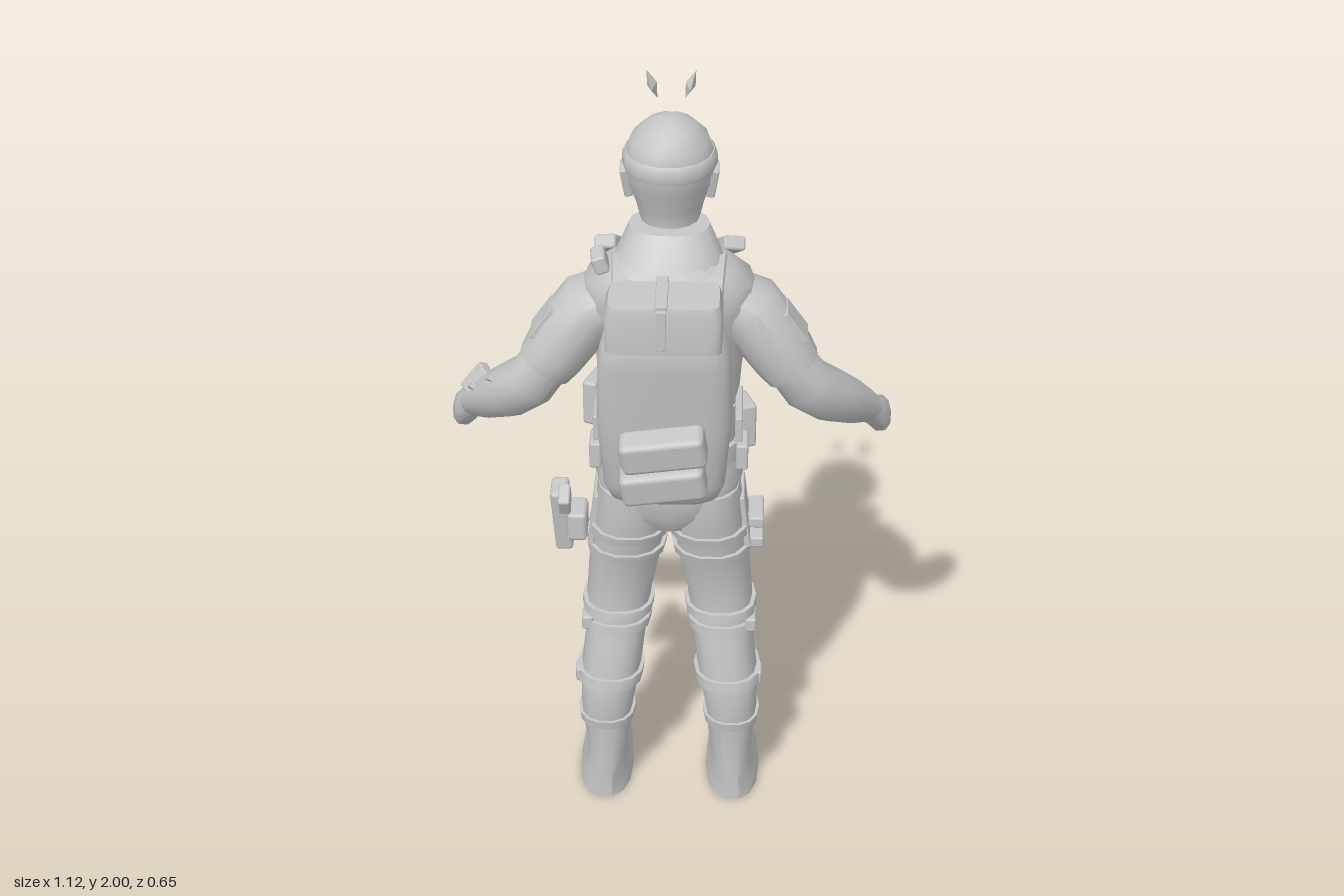
import * as THREE from 'three';
import { toCreasedNormals } from 'three/addons/utils/BufferGeometryUtils.js';
import { RoundedBoxGeometry } from 'three/addons/geometries/RoundedBoxGeometry.js';

const V = (x, y, z) => new THREE.Vector3(x, y, z);

// Skin over rings {c, u, v}: centre and two half axes, closed at both ends
function loft(rings, n = 14, p = 0.85, crease = 0.75) {
  const pos = [], idx = [];
  const pw = t => Math.sign(t) * Math.abs(t) ** p;
  const put = q => pos.push(q.x, q.y, q.z);
  rings.forEach(({ c, u, v }) => {
    for (let i = 0; i < n; i++) {
      const a = i / n * Math.PI * 2;
      put(c.clone().addScaledVector(u, pw(Math.cos(a))).addScaledVector(v, pw(Math.sin(a))));
    }
  });
  const last = (rings.length - 1) * n, end = rings.length * n;
  put(rings[0].c);
  put(rings[rings.length - 1].c);
  for (let i = 0; i < n; i++) {
    const k = (i + 1) % n;
    for (let j = 0; j < last; j += n) {
      idx.push(j + i, j + n + i, j + k, j + k, j + n + i, j + n + k);
    }
    idx.push(end, i, k, end + 1, last + k, last + i);
  }
  const g = new THREE.BufferGeometry();
  g.setAttribute('position', new THREE.Float32BufferAttribute(pos, 3));
  g.setIndex(idx);
  g.computeVertexNormals();
  return toCreasedNormals(g, crease);
}

// Level ring rows, bottom to top: [y, x, half width, back z, front z]
const level = (rows, s = 1) => rows.map(([y, x, w, b, f]) => (
  { c: V(x * s, y, (b + f) / 2), u: V(w, 0, 0), v: V(0, 0, (b - f) / 2) }));

// Rings across a path of [x, y, z, width, thickness]; side is the width direction
function limb(rows, s, side) {
  const pts = rows.map(r => V(r[0] * s, r[1], r[2]));
  return rows.map((r, i) => {
    const d = pts[Math.min(i + 1, pts.length - 1)].clone().sub(pts[Math.max(i - 1, 0)]).normalize();
    const u = side.clone().addScaledVector(d, -side.dot(d)).normalize();
    const v = u.clone().cross(d);
    return { c: pts[i], u: u.multiplyScalar(r[3]), v: v.multiplyScalar(r[4]) };
  });
}

const LEG = [
  [0.18, 0.165, 0.06, 0.03, -0.115], [0.27, 0.165, 0.068, 0.045, -0.12],
  [0.38, 0.155, 0.078, 0.045, -0.135], [0.5, 0.14, 0.078, 0.015, -0.155],
  [0.62, 0.13, 0.084, 0.0, -0.18], [0.75, 0.112, 0.092, 0.025, -0.19],
  [0.88, 0.096, 0.093, 0.058, -0.178], [0.98, 0.09, 0.088, 0.06, -0.16]];

// Leg ring at any height, grown by g
function legRing(y, g) {
  let i = 0;
  while (i < LEG.length - 2 && LEG[i + 1][0] < y) i++;
  const t = (y - LEG[i][0]) / (LEG[i + 1][0] - LEG[i][0]);
  const [, x, w, b, f] = LEG[i].map((a, k) => a + (LEG[i + 1][k] - a) * t);
  return [y, x, w + g, b + g, f - g];
}

export function createModel() {
  const root = new THREE.Group();
  const gray = new THREE.MeshStandardMaterial({ color: 0xc6c6c6 });
  gray.name = 'plain gray';

  const add = (name, geo) => {
    const m = new THREE.Mesh(geo, gray);
    m.name = name;
    root.add(m);
    return m;
  };
  const box = (name, [w, h, d], [x, y, z], [a, b, c] = [0, 0, 0]) => {
    const m = add(name, new RoundedBoxGeometry(w, h, d, 1, Math.min(w, h, d) * 0.2));
    m.position.set(x, y, z);
    m.rotation.set(a, b, c);
    return m;
  };

  // Head, with a masked face towards -z
  add('head', loft(level([
    [1.6, 0, 0.062, 0.0, -0.13], [1.665, 0, 0.066, -0.015, -0.16], [1.72, 0, 0.08, -0.01, -0.182],
    [1.78, 0, 0.1, 0.022, -0.195], [1.84, 0, 0.108, 0.032, -0.2], [1.885, 0, 0.092, 0.026, -0.19],
    [1.915, 0, 0.062, 0.0, -0.16], [1.935, 0, 0.025, -0.05, -0.11]]), 14, 0.95));
  add('headBand', loft(level([
    [1.815, 0, 0.108, 0.034, -0.202], [1.825, 0, 0.111, 0.037, -0.205],
    [1.85, 0, 0.11, 0.036, -0.205], [1.858, 0, 0.104, 0.03, -0.198]]), 14, 0.95));
  box('goggles', [0.12, 0.035, 0.02], [0, 1.835, -0.192]);
  for (const s of [-1, 1]) {
    box('earpiece', [0.02, 0.075, 0.05], [s * 0.1, 1.785, -0.075], [0.2, 0, -s * 0.15]);
    const shard = add('floatingShard', toCreasedNormals(new THREE.OctahedronGeometry(1), 0.1));
    shard.scale.set(0.012, 0.037, 0.042);
    shard.position.set(s * 0.045, 1.963, -0.205);
    shard.rotation.set(0, 0, -s * 0.35);
  }

  // Trunk
  add('torso', loft(level([
    [1.04, 0, 0.168, 0.05, -0.18], [1.15, 0, 0.165, 0.05, -0.18], [1.3, 0, 0.175, 0.07, -0.19],
    [1.42, 0, 0.188, 0.085, -0.198], [1.5, 0, 0.21, 0.1, -0.19], [1.555, 0, 0.2, 0.1, -0.165],
    [1.6, 0, 0.155, 0.088, -0.125], [1.63, 0, 0.1, 0.06, -0.11]]), 18, 0.8));
  add('pelvis', loft(level([
    [0.87, 0, 0.07, 0.035, -0.14], [0.92, 0, 0.165, 0.062, -0.17],
    [1.0, 0, 0.184, 0.072, -0.178], [1.08, 0, 0.17, 0.055, -0.18]]), 16));
  add('collar', loft(level([
    [1.6, 0, 0.135, 0.085, -0.115], [1.64, 0, 0.118, 0.06, -0.12], [1.685, 0, 0.095, 0.025, -0.125]])));
  add('belt', loft(level([[1.06, 0, 0.18, 0.07, -0.194], [1.11, 0, 0.178, 0.068, -0.194]]), 18));
  add('vestBand', loft(level([
    [1.17, 0, 0.174, 0.066, -0.192], [1.22, 0, 0.177, 0.07, -0.195]]), 18));

  // Arms, hands and shoulder gear
  for (const s of [-1, 1]) {
    const up = V(s * 0.6, 0.75, 0.1);
    add('upperArm', loft(limb([
      [0.13, 1.51, -0.03, 0.06, 0.085], [0.19, 1.475, -0.025, 0.078, 0.095], [0.24, 1.41, -0.018, 0.078, 0.09],
      [0.275, 1.36, -0.01, 0.074, 0.084], [0.3, 1.325, -0.006, 0.068, 0.074]], s, up), 12));
    add('forearm', loft(limb([
      [0.265, 1.37, -0.01, 0.058, 0.062], [0.33, 1.28, -0.012, 0.064, 0.066],
      [0.39, 1.222, -0.055, 0.064, 0.064], [0.45, 1.168, -0.115, 0.052, 0.054],
      [0.495, 1.12, -0.175, 0.036, 0.04]], s, up), 12));
    add('hand', loft(limb([
      [0.485, 1.125, -0.165, 0.032, 0.034], [0.512, 1.09, -0.2, 0.032, 0.038], [0.53, 1.06, -0.24, 0.03, 0.048],
      [0.528, 1.03, -0.28, 0.028, 0.04], [0.52, 1.01, -0.305, 0.02, 0.026]], s, V(s, 0.35, 0.3)), 10));
    add('thumb', loft(limb([
      [0.505, 1.085, -0.21, 0.018, 0.02], [0.493, 1.06, -0.25, 0.018, 0.018],
      [0.486, 1.035, -0.29, 0.012, 0.012]], s, V(s, 0.35, 0.3)), 8));
    box('sleevePocket', [0.016, 0.09, 0.085], [s * 0.3, 1.445, -0.02], [0, 0, s * 0.62]);
    add('packStrap', loft(limb([
      [0.1, 1.5, 0.12, 0.025, 0.01], [0.105, 1.59, 0.08, 0.025, 0.01], [0.11, 1.617, 0.0, 0.025, 0.01],
      [0.115, 1.575, -0.145, 0.028, 0.01], [0.12, 1.46, -0.19, 0.028, 0.01]], s, V(1, 0, 0)), 8, 0.5));
    box('shoulderPouch', [0.055, 0.035, 0.085], [s * 0.14, 1.595, -0.115], [-0.6, s * 0.35, 0]);
  }
  box('shoulderBuckle', [0.035, 0.045, 0.07], [-0.16, 1.615, 0.01], [0, 0.1, 0.3]);
  box('wristDevice', [0.03, 0.085, 0.06], [-0.475, 1.205, -0.12], [0.5, 0.5, -0.75]);
  for (const t of [0, 1]) {
    box('forearmStrap', [0.122, 0.016, 0.122],
      [-0.405 - t * 0.055, 1.208 - t * 0.058, -0.07 - t * 0.062], [-0.5, 0.3, -0.65]);
  }

  // Chest and belt pouches
  for (const i of [-1, 0, 1]) {
    box('magazinePouch', [0.072, 0.12, 0.05], [i * 0.078, 1.385, -0.222]);
    box('pouchFlap', [0.076, 0.035, 0.058], [i * 0.078, 1.44, -0.225], [0.1, 0, 0]);
    box('lowerPouch', [0.075, 0.075, 0.04], [i * 0.085, 1.2, -0.21]);
    box('beltPouch', [0.075, 0.085, 0.045], [i * 0.09, 1.075, -0.21]);
  }
  box('chestRadio', [0.06, 0.13, 0.055], [0.055, 1.4, -0.268], [0, 0, 0.05]);
  box('chestTool', [0.1, 0.035, 0.04], [-0.06, 1.43, -0.268], [0, 0, 0.3]);
  add('radioCable', new THREE.TubeGeometry(new THREE.CatmullRomCurve3([
    V(-0.14, 1.44, -0.2), V(-0.14, 1.51, -0.22), V(-0.11, 1.53, -0.26),
    V(-0.085, 1.48, -0.31), V(-0.08, 1.42, -0.27)]), 20, 0.002, 5));
  for (const s of [-1, 1]) {
    box('sidePouch', [0.04, 0.12, 0.09], [s * 0.183, 1.14 - s * 0.03, -0.12], [0, s * 0.35, 0]);
    box('hipPouch', [0.03, 0.07, 0.08], [s * 0.18, 1.08, -0.02]);
    box('sideStrap', [0.018, 0.065, 0.16], [s * 0.17, 1.21, 0.02]);
  }

  // Backpack: rounded body, squared lid, centre strap and two tilted pouches
  add('packBody', loft(level([
    [1.055, -0.005, 0.1, 0.19, 0.11], [1.075, -0.005, 0.128, 0.21, 0.085], [1.12, -0.005, 0.146, 0.226, 0.075],
    [1.3, -0.005, 0.16, 0.248, 0.065], [1.46, -0.005, 0.155, 0.266, 0.09], [1.52, -0.005, 0.14, 0.272, 0.11],
    [1.54, -0.005, 0.125, 0.262, 0.13]]), 20, 0.42));
  add('packLid', loft(level([
    [1.51, -0.005, 0.134, 0.272, 0.11], [1.6, -0.005, 0.134, 0.274, 0.125],
    [1.627, -0.005, 0.126, 0.268, 0.135]]), 20, 0.25));
  box('packTopStrap', [0.028, 0.012, 0.15], [-0.01, 1.628, 0.195]);
  box('packBackStrap', [0.024, 0.1, 0.012], [-0.01, 1.575, 0.274]);
  for (const [y, z] of [[1.268, 0.283], [1.178, 0.278]]) {
    box('packPouch', [0.2, 0.085, 0.075], [-0.005, y, z], [0.15, 0, 0.15]);
  }

  // Legs, boots and guards
  for (const s of [-1, 1]) {
    add('leg', loft(level(LEG, s), 14));
    add('boot', loft(level([
      [0.0, 0.172, 0.072, 0.042, -0.25], [0.03, 0.172, 0.07, 0.042, -0.295], [0.06, 0.17, 0.06, 0.042, -0.25],
      [0.12, 0.167, 0.055, 0.04, -0.165], [0.17, 0.165, 0.057, 0.037, -0.125], [0.26, 0.165, 0.066, 0.045, -0.12]
    ], s), 14));
    for (const [y, h, g] of [[0.24, 0.025, 0.008], [0.37, 0.03, 0.01], [0.53, 0.025, 0.01],
      [0.57, 0.025, 0.011], [0.77, 0.025, 0.01], [0.835, 0.025, 0.01]]) {
      add('legStrap', loft(level([legRing(y, g), legRing(y + h, g)], s), 14));
    }
    for (const y of [0.38, 0.55]) {
      box('strapBuckle', [0.03, 0.04, 0.05], [s * (legRing(y, 0)[1] + 0.075), y, -0.03]);
    }
    add('kneePad', loft(level([
      [0.465, 0.14, 0.035, -0.11, -0.165], [0.5, 0.14, 0.062, -0.09, -0.188],
      [0.56, 0.135, 0.068, -0.09, -0.2], [0.61, 0.13, 0.05, -0.11, -0.187]], s), 10));
    add('shinGuard', loft(level([
      [0.16, 0.165, 0.025, -0.11, -0.142], [0.25, 0.165, 0.048, -0.08, -0.145],
      [0.38, 0.155, 0.06, -0.08, -0.147], [0.45, 0.148, 0.05, -0.1, -0.155]], s), 10));
    box('frontThighPouch', [0.085, 0.1, 0.045], [s * 0.13, 0.79, -0.2], [0, -s * 0.2, 0]);
    box('thighPocket', [0.016, 0.15, 0.13], [s * 0.19, 0.865, -0.08], [0, 0, s * 0.12]);
  }

  // Holster on the -x thigh, strap pouches on the other
  box('holster', [0.045, 0.19, 0.075], [-0.275, 0.83, -0.1], [0.15, 0, 0.05]);
  box('holsterGrip', [0.03, 0.06, 0.06], [-0.265, 0.9, -0.06], [0.5, 0, 0]);
  box('holsterPlate', [0.05, 0.08, 0.09], [-0.235, 0.82, -0.09]);
  for (const y of [0.785, 0.845]) box('strapPouch', [0.04, 0.03, 0.11], [0.22, y, -0.1]);
  return root;
}
